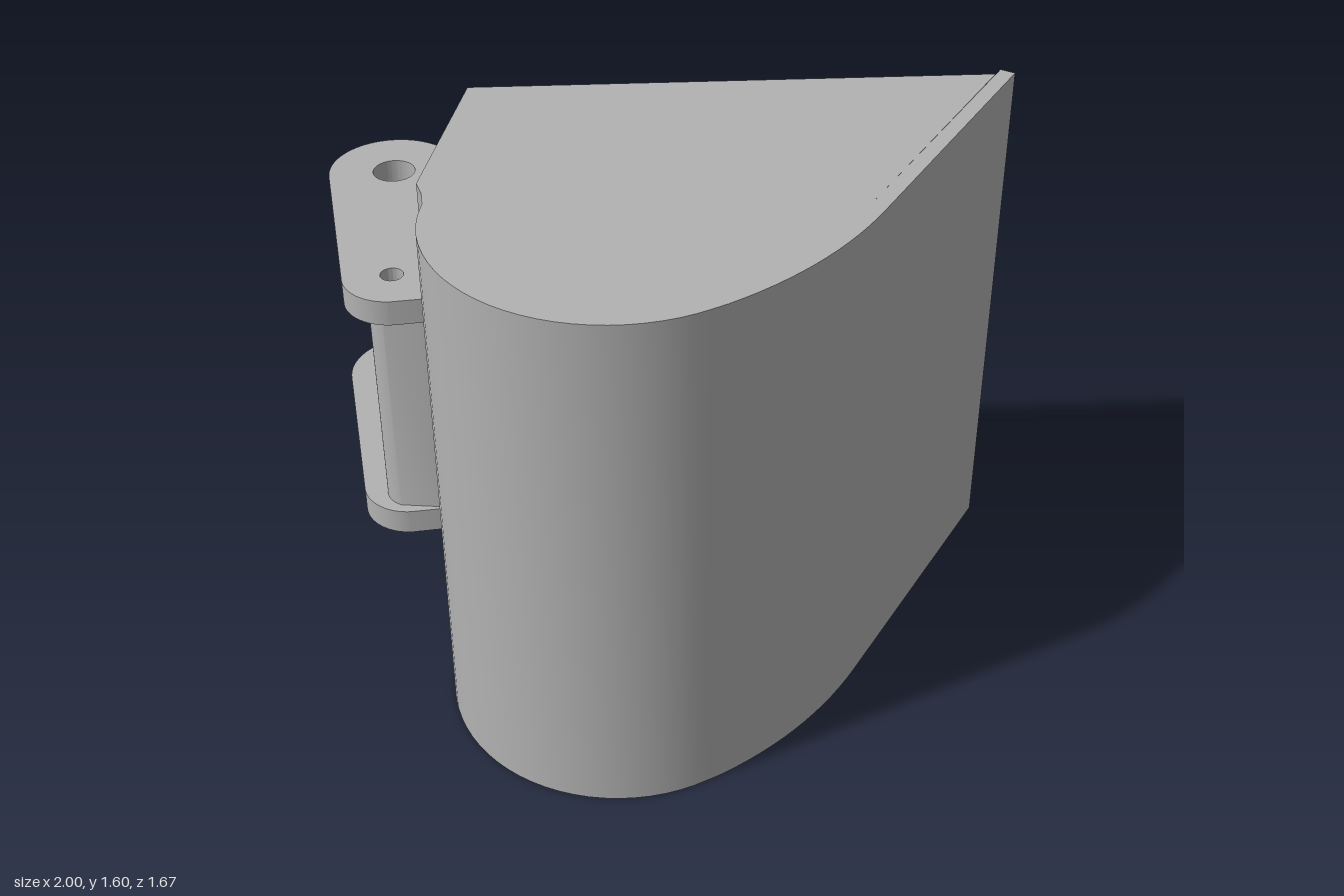
import * as THREE from 'three';
import { toCreasedNormals } from 'three/addons/utils/BufferGeometryUtils.js';

// Plan shapes are drawn as (x, -z) and raised along y.
const V = (x, y) => new THREE.Vector2(x, y);

function slab(name, shape, y0, y1, material) {
  const geo = new THREE.ExtrudeGeometry(shape, { depth: y1 - y0, bevelEnabled: false, curveSegments: 32 });
  geo.rotateX(-Math.PI / 2);
  geo.translate(0, y0, 0);
  const mesh = new THREE.Mesh(toCreasedNormals(geo, 0.5), material);
  mesh.name = name;
  return mesh;
}

function addHole(shape, x, y, r) {
  const hole = new THREE.Path();
  hole.absarc(x, y, r, 0, Math.PI * 2, true);
  shape.holes.push(hole);
}

// Outer line of the scoop, from the hinge-side rim round to the cutting lip
function scoopLine() {
  const deg = Math.PI / 180;
  const pts = [V(-0.56, 0.41), V(-0.703, -0.12), V(-0.69, -0.175), V(-0.688, -0.225), V(-0.7, -0.285)];
  for (let a = 180; a <= 295; a += 5) {
    pts.push(V(-0.21 + 0.495 * Math.cos(a * deg), -0.34 + 0.495 * Math.sin(a * deg)));
  }
  const sweep = new THREE.QuadraticBezierCurve(V(0, -0.79), V(0.298, -0.651), V(0.49, -0.38));
  pts.push(...sweep.getPoints(14).slice(1), V(1, 0.34));
  return pts;
}

// Same line moved inwards by the wall thickness
function inset(pts, t) {
  return pts.map((p, i) => {
    const a = pts[Math.max(i - 1, 0)], b = pts[Math.min(i + 1, pts.length - 1)];
    const n1 = p.clone().sub(a).normalize(), n2 = b.clone().sub(p).normalize();
    const d = n1.add(n2).normalize();
    return V(p.x - d.y * t, p.y + d.x * t);
  });
}

export function createModel() {
  const group = new THREE.Group();
  group.name = 'bucket';
  const steel = new THREE.MeshStandardMaterial({ color: 0xb2b2b2 });
  steel.name = 'grey steel';

  // Curved shell with its lip
  const outer = scoopLine();
  const inner = inset(outer, 0.045);
  inner[0].set(-0.516, 0.408);
  group.add(slab('shell', new THREE.Shape([...outer, ...inner.slice().reverse()]), 0, 1.595, steel));

  // End plates closing the shell
  const plate = inner.map((p) => p.clone());
  plate[plate.length - 1].set(0.943, 0.34);
  for (const [name, y] of [['lowerEndPlate', 0], ['upperEndPlate', 1.545]]) {
    group.add(slab(name, new THREE.Shape(plate), y, y + 0.05, steel));
  }

  // Pair of hinge ears
  const ear = new THREE.Shape();
  ear.absarc(-0.8, 0.645, 0.195, 0.23, Math.PI * 1.03, false);
  ear.absarc(-0.8, 0.06, 0.14, Math.PI * 1.03, Math.PI * 1.5, false);
  ear.lineTo(-0.685, -0.073);
  ear.lineTo(-0.56, 0.39);
  ear.lineTo(-0.56, 0.411);
  ear.lineTo(-0.538, 0.411);
  addHole(ear, -0.8, 0.645, 0.063);
  addHole(ear, -0.8, 0.06, 0.033);
  for (const [name, y] of [['lowerHingeEar', 0.393], ['upperHingeEar', 1.13]]) {
    group.add(slab(name, ear, y, y + 0.077, steel));
  }

  // Web between the ears
  const web = new THREE.Shape();
  web.moveTo(-0.57, 0.36);
  web.lineTo(-0.665, 0.372);
  web.quadraticCurveTo(-0.7, 0.372, -0.72, 0.335);
  web.lineTo(-0.865, 0.06);
  web.quadraticCurveTo(-0.885, -0.01, -0.83, -0.045);
  web.lineTo(-0.688, -0.07);
  addHole(web, -0.8, 0.06, 0.033);
  group.add(slab('hingeWeb', web, 0.47, 1.13, steel));

  return group;
}
